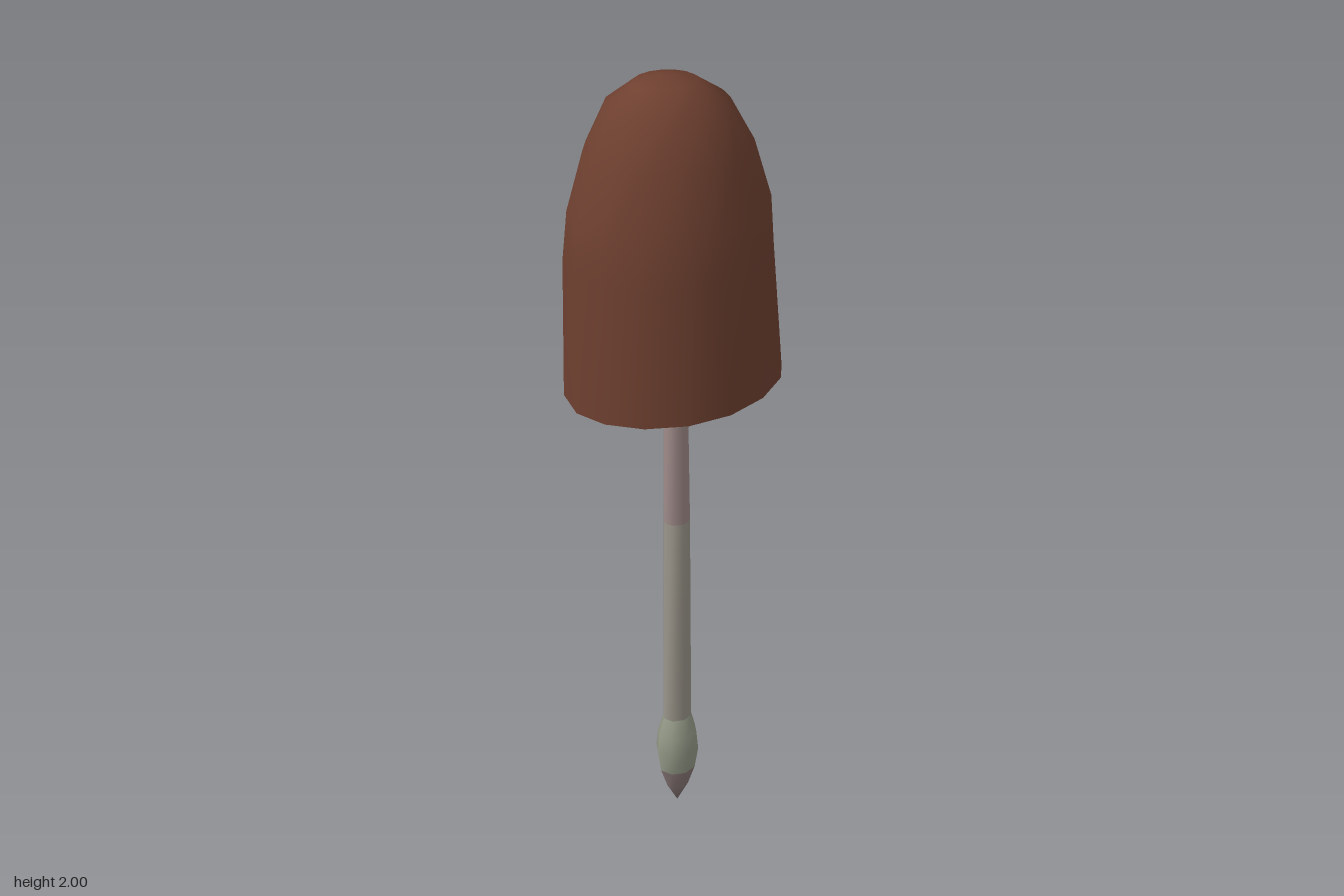
import * as THREE from 'three';
import { mergeVertices } from 'three/addons/utils/BufferGeometryUtils.js';

// Smooth skin through elliptical rings [y, centreX, radiusX, radiusZ, rimLift]
function loft(name, color, rings, sides, rimShape = () => 0) {
  const pos = [], idx = [];
  for (const [y, cx, rx, rz, lift = 0] of rings) {
    for (let j = 0; j < sides; j++) {
      const t = (j / sides) * Math.PI * 2;
      pos.push(cx + rx * Math.cos(t), y + lift * rimShape(t), rz * Math.sin(t));
    }
  }
  for (let i = 0; i < rings.length - 1; i++) {
    for (let j = 0; j < sides; j++) {
      const k = (j + 1) % sides;
      const a = i * sides + j, b = i * sides + k, c = a + sides, d = b + sides;
      idx.push(a, c, b, b, c, d);
    }
  }
  let geo = new THREE.BufferGeometry();
  geo.setAttribute('position', new THREE.Float32BufferAttribute(pos, 3));
  geo.setIndex(idx);
  geo = mergeVertices(geo, 1e-5);
  geo.computeVertexNormals();
  const mesh = new THREE.Mesh(geo, new THREE.MeshStandardMaterial({ color }));
  mesh.name = name;
  return mesh;
}

// The rim curls up at the front left of the cap and fades out along the front
function rimShape(t) {
  if (t >= Math.PI) return 0;
  const peak = Math.PI * 0.28;
  return t < peak ? Math.sin((t / peak) * Math.PI / 2) : (Math.PI - t) / (Math.PI - peak);
}

export function createModel() {
  const model = new THREE.Group();
  model.name = 'mushroom';
  const brown = 0x6e4030;

  // Cap: tall dome leaning slightly to one side
  const cap = new THREE.Group();
  cap.name = 'cap';
  cap.add(
    loft('capDome', brown, [
      [1.22, 0, 0.263, 0.25, 0.05],
      [1.57, -0.012, 0.25, 0.226],
      [1.69, -0.01, 0.24, 0.217],
      [1.83, -0.012, 0.2, 0.178],
      [1.935, -0.016, 0.145, 0.133],
      [1.985, -0.022, 0.075, 0.066],
      [2.0, -0.028, 0, 0],
    ], 16, rimShape),
    loft('capLip', brown, [
      [1.228, 0, 0.245, 0.232, 0.05],
      [1.22, 0, 0.263, 0.25, 0.05],
    ], 16, rimShape),
    // Shallow hollow underside
    loft('gills', 0xa8a4a0, [
      [1.31, 0.005, 0, 0],
      [1.3, 0.005, 0.08, 0.076],
      [1.275, 0.002, 0.17, 0.16, 0.02],
      [1.228, 0, 0.245, 0.232, 0.05],
    ], 16, rimShape),
  );

  // Stem: slim shaft ending in a pointed bulb
  const stem = new THREE.Group();
  stem.name = 'stem';
  stem.add(
    loft('upperStem', 0xa08c8a, [
      [0.85, 0.01, 0.035, 0.03],
      [1.32, 0.005, 0.03, 0.027],
    ], 8),
    loft('lowerStem', 0x9c978c, [
      [0.27, 0.012, 0.039, 0.032],
      [0.85, 0.01, 0.035, 0.03],
    ], 8),
    loft('bulb', 0x949a88, [
      [0.11, 0.012, 0.049, 0.042],
      [0.17, 0.012, 0.058, 0.051],
      [0.22, 0.012, 0.053, 0.046],
      [0.27, 0.012, 0.039, 0.032],
    ], 8),
    loft('bulbTip', 0x8a7878, [
      [0, 0.012, 0, 0],
      [0.055, 0.012, 0.03, 0.026],
      [0.11, 0.012, 0.049, 0.042],
    ], 8),
  );

  model.add(cap, stem);
  return model;
}
